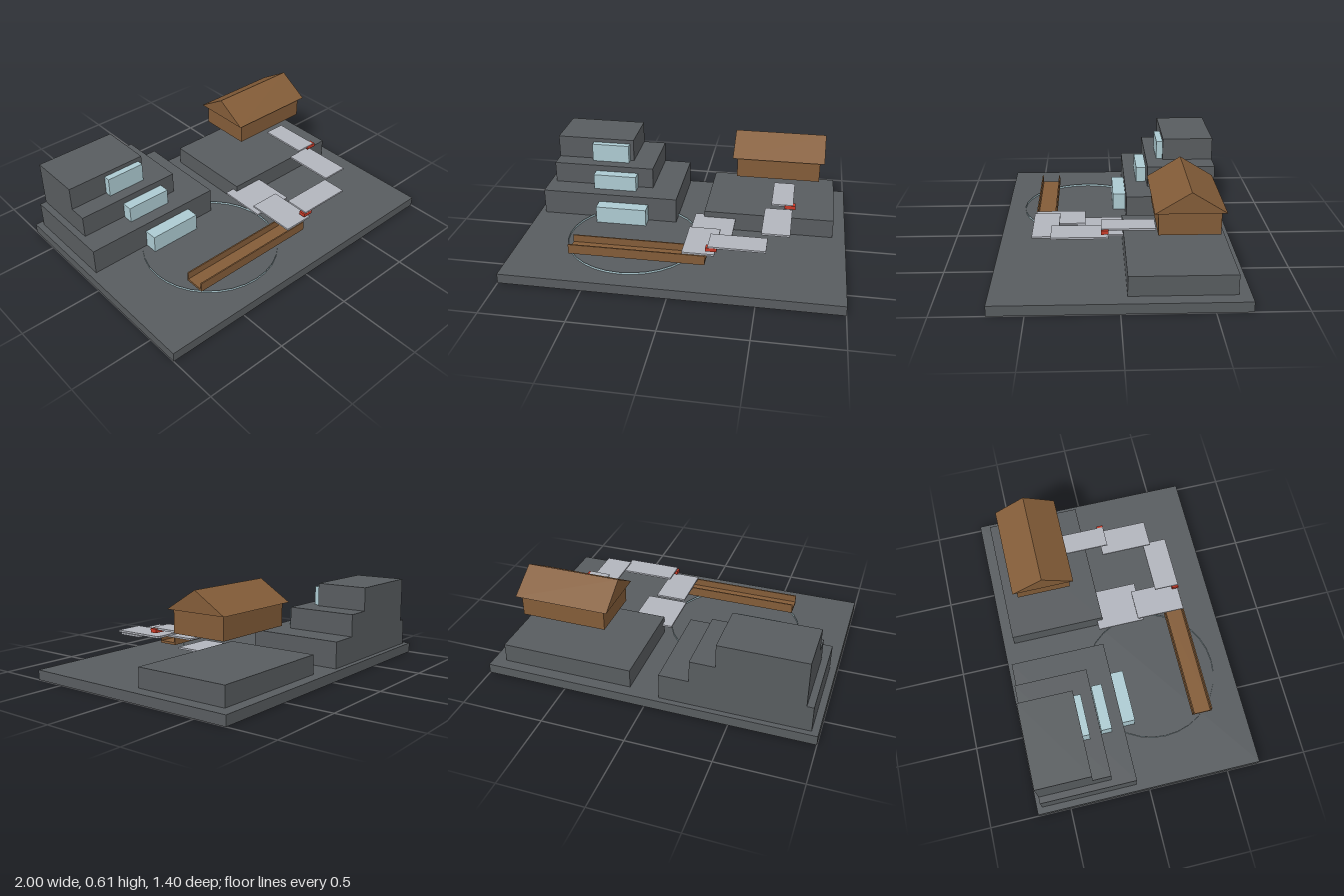
import * as THREE from 'three';

const mat = (name, color, side = THREE.FrontSide) => {
  const m = new THREE.MeshStandardMaterial({ color, side });
  m.name = name;
  return m;
};

export function createModel() {
  const model = new THREE.Group();
  model.name = 'rockGardenWithCabin';
  const stone = mat('darkStone', 0x585c5f);
  const wood = mat('brownWood', 0x835c38);
  const water = mat('paleWater', 0xadcbd2, THREE.DoubleSide);
  const slab = mat('lightGreySlab', 0xb2b5bd);
  const red = mat('red', 0xc83a28);

  // Box given by its extents along x, y and z
  const box = (name, material, [x0, x1], [y0, y1], [z0, z1], parent = model) => {
    const mesh = new THREE.Mesh(new THREE.BoxGeometry(x1 - x0, y1 - y0, z1 - z0), material);
    mesh.position.set((x0 + x1) / 2, (y0 + y1) / 2, (z0 + z1) / 2);
    mesh.name = name;
    parent.add(mesh);
    return mesh;
  };

  // Ground and raised stone
  box('base', stone, [-1, 1], [0, 0.06], [-0.7, 0.7]);
  box('lowerTier', stone, [-0.96, -0.08], [0.06, 0.222], [-0.667, -0.078]);
  box('middleTier', stone, [-0.92, -0.26], [0.222, 0.358], [-0.667, -0.225]);
  box('upperTier', stone, [-0.92, -0.41], [0.358, 0.503], [-0.667, -0.336]);
  box('plateau', stone, [0.11, 0.92], [0.06, 0.177], [-0.63, -0.04]);

  // Waterfalls, one on the front of each tier
  box('lowerFall', water, [-0.59, -0.265], [0.06, 0.17], [-0.078, 0.003]);
  box('middleFall', water, [-0.64, -0.36], [0.222, 0.322], [-0.22, -0.155]);
  box('upperFall', water, [-0.68, -0.435], [0.358, 0.477], [-0.336, -0.295]);

  // Thin open rim of the pool
  const pool = new THREE.Mesh(new THREE.CylinderGeometry(0.41, 0.41, 0.014, 32, 1, true), water);
  pool.name = 'poolRim';
  pool.position.set(-0.3, 0.066, 0.175);
  model.add(pool);

  // Wooden trough: floor and two thin walls
  const trough = new THREE.Group();
  trough.name = 'trough';
  model.add(trough);
  box('troughFloor', wood, [-0.63, 0.185], [0.11, 0.125], [0.365, 0.488], trough);
  for (const z of [0.365, 0.48]) {
    box('troughWall', wood, [-0.63, 0.185], [0.125, 0.17], [z, z + 0.008], trough);
  }

  // Rising walkway of slabs: x range, underside height, z range
  const slabs = [
    [[0.05, 0.31], 0.128, [-0.075, 0.222]],
    [[0.05, 0.24], 0.173, [0.183, 0.485]],
    [[0.2, 0.535], 0.223, [0.333, 0.485]],
    [[0.497, 0.663], 0.274, [0.055, 0.372]],
    [[0.535, 0.665], 0.324, [-0.205, 0.094]],
  ];
  slabs.forEach(([x, y, z], i) => box('walkwaySlab' + (i + 1), slab, x, [y, y + 0.011], z));

  // Red blocks under the slabs
  box('lowerRedBlock', red, [0.188, 0.253], [0.203, 0.225], [0.444, 0.486]);
  box('upperRedBlock', red, [0.615, 0.68], [0.308, 0.331], [0.055, 0.095]);

  // Cabin with a gabled roof
  const cabin = new THREE.Group();
  cabin.name = 'cabin';
  model.add(cabin);
  box('cabinWalls', wood, [0.295, 0.813], [0.362, 0.494], [-0.537, -0.204], cabin);
  const gable = new THREE.Shape([
    new THREE.Vector2(-0.19, 0),
    new THREE.Vector2(0.19, 0),
    new THREE.Vector2(0, 0.118),
  ]);
  const roofShape = new THREE.ExtrudeGeometry(gable, { depth: 0.573, bevelEnabled: false });
  const roof = new THREE.Mesh(roofShape.rotateY(Math.PI / 2), wood);
  roof.name = 'cabinRoof';
  roof.position.set(0.267, 0.493, -0.372);
  cabin.add(roof);

  return model;
}
